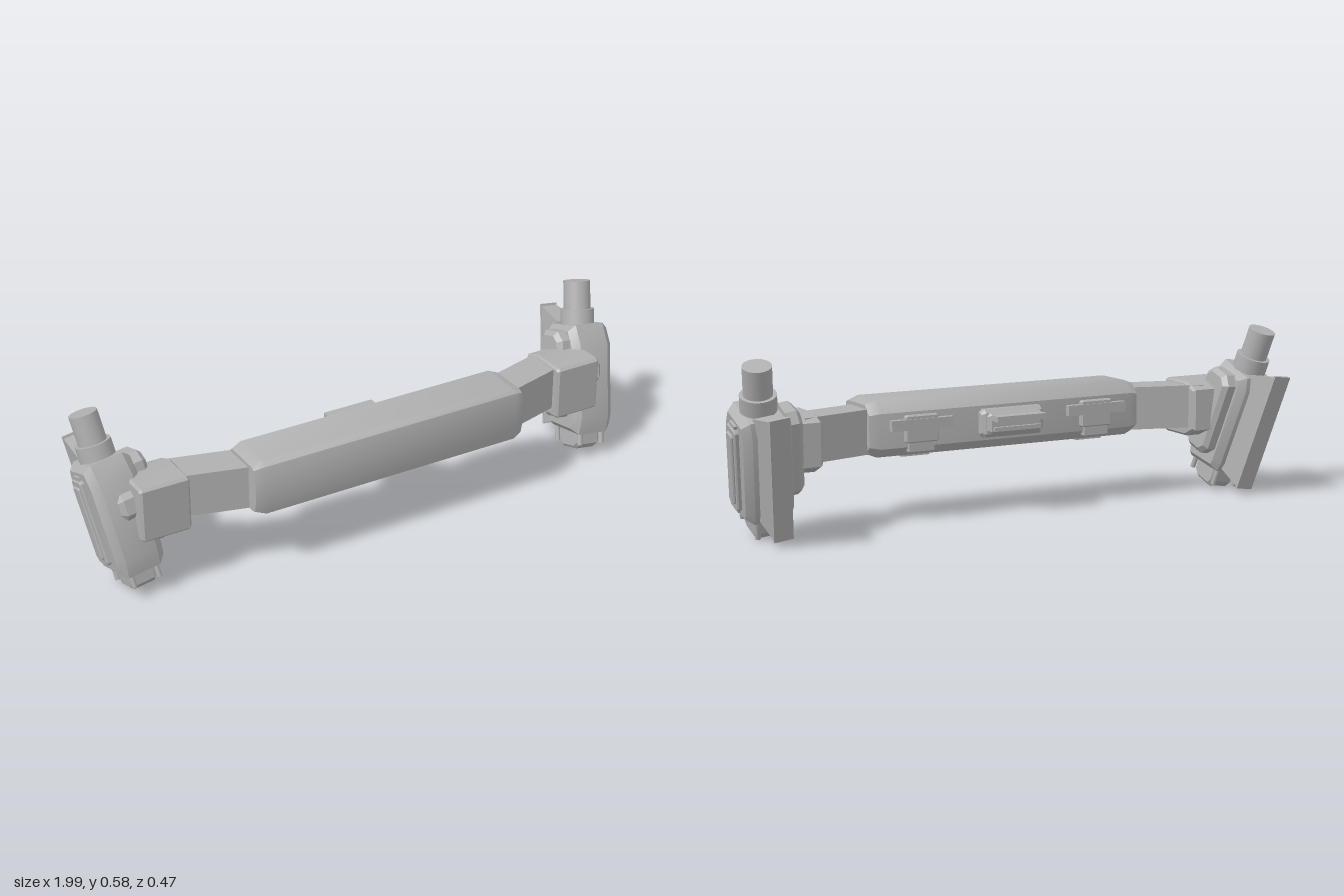
import * as THREE from 'three';
import { toCreasedNormals } from 'three/addons/utils/BufferGeometryUtils.js';

const grey = new THREE.MeshStandardMaterial({ color: 0xb0b0b0 });
grey.name = 'grey';

function add(parent, name, geometry, x = 0, y = 0, z = 0) {
  const mesh = new THREE.Mesh(geometry, grey);
  mesh.name = name;
  mesh.position.set(x, y, z);
  parent.add(mesh);
  return mesh;
}

const box = (w, h, d) => new THREE.BoxGeometry(w, h, d);

// Outline of [z, y] points extruded across x, centred, with bevelled ends
function prism(points, width, inset = 0.01, run = inset) {
  const shape = new THREE.Shape(points.map(([z, y]) => new THREE.Vector2(-z, y)));
  const geo = new THREE.ExtrudeGeometry(shape, {
    depth: width - 2 * run, bevelEnabled: true, bevelSegments: 1,
    bevelSize: inset, bevelThickness: run, bevelOffset: -inset,
  });
  geo.translate(0, 0, run - width / 2);
  geo.rotateY(Math.PI / 2);
  return toCreasedNormals(geo, 0.45);
}

// Rectangle with cut corners, as [z, y] points
function cutRect(z0, z1, y0, y1, c) {
  return [[z0 + c, y0], [z1 - c, y0], [z1, y0 + c], [z1, y1 - c],
    [z1 - c, y1], [z0 + c, y1], [z0, y1 - c], [z0, y0 + c]];
}

// Reshape a geometry's vertices by a rule
function reshape(geo, rule) {
  const p = geo.attributes.position;
  const v = new THREE.Vector3();
  for (let i = 0; i < p.count; i++) {
    v.fromBufferAttribute(p, i);
    rule(v);
    p.setXYZ(i, v.x, v.y, v.z);
  }
  geo.computeVertexNormals();
  return geo;
}

// Tilted end pod; s is +1 on the left, -1 on the right
function makePod(s) {
  const pod = new THREE.Group();
  pod.name = s > 0 ? 'leftPod' : 'rightPod';
  pod.position.set(0.88 * s, 0.252, 0.011);
  pod.rotation.set(-0.314, 0, -0.14 * s);

  add(pod, 'podBody', prism([
    [-0.078, -0.175], [0.078, -0.192], [0.096, -0.134], [0.098, 0.118],
    [0.07, 0.187], [-0.074, 0.18], [-0.09, 0.132], [-0.087, -0.141],
  ], 0.16, 0.02, 0.025));

  // Outer cover: frame, raised panel and end tabs
  add(pod, 'coverFrame', prism(cutRect(-0.037, 0.037, -0.142, 0.142, 0.008), 0.03, 0.004), 0.079 * s);
  add(pod, 'coverPanel', prism(cutRect(-0.023, 0.023, -0.122, 0.122, 0.006), 0.03, 0.004), 0.086 * s);
  for (const e of [-1, 1]) add(pod, 'coverTab', box(0.02, 0.014, 0.045), 0.079 * s, 0.146 * e, 0);

  // Inner mounting blocks
  add(pod, 'innerMount', prism(cutRect(-0.06, 0.07, -0.13, 0.168, 0.03), 0.07, 0.015), -0.09 * s);
  add(pod, 'frontMount', prism(cutRect(0.02, 0.116, -0.045, 0.065, 0.03), 0.12, 0.015), -0.04 * s, 0.02, 0);

  // Post and collar on top
  add(pod, 'collar', new THREE.CylinderGeometry(0.058, 0.058, 0.09, 32), 0, 0.19, 0);
  add(pod, 'post', new THREE.CylinderGeometry(0.046, 0.046, 0.12, 32), 0, 0.272, 0);

  // Foot with four pins
  add(pod, 'foot', prism([
    [-0.058, -0.15], [-0.058, -0.225], [-0.043, -0.249], [0.03, -0.249],
    [0.055, -0.232], [0.066, -0.15],
  ], 0.09, 0.01), 0, 0, 0);
  for (const x of [-0.044, 0.044]) {
    for (const z of [-0.07, 0.066]) {
      add(pod, 'pin', new THREE.CylinderGeometry(0.009, 0.009, 0.075, 12), x, -0.194, z);
    }
  }

  // Rear fin, taller and thinner toward its back edge
  const fin = reshape(box(2, 2, 2), (v) => {
    const back = v.z < 0;
    v.x *= back ? 0.03 : 0.042;
    v.y = v.y > 0 ? (back ? 0.232 : 0.188) : (back ? -0.184 : -0.16);
    v.z = back ? -0.175 : -0.06;
  });
  add(pod, 'fin', fin);
  add(pod, 'finEdge', box(0.064, 0.426, 0.009), 0, 0.025, -0.177);
  return pod;
}

// Slanted arm and joint block between bar and pod
function makeArm(s) {
  const arm = new THREE.Group();
  arm.name = s > 0 ? 'leftArm' : 'rightArm';
  const link = reshape(box(0.28, 0.146, 0.125), (v) => {
    v.z -= 0.27 * s * v.x;
  });
  add(arm, 'link', link, 0.6 * s, 0.305, 0.086);
  add(arm, 'jointBlock', prism([
    [-0.035, 0.225], [0.02, 0.2], [0.145, 0.2], [0.153, 0.208],
    [0.153, 0.38], [0.143, 0.388], [0.02, 0.388], [-0.035, 0.365],
  ], 0.17, 0.008), 0.773 * s);
  return arm;
}

// Clip on the back of the bar, folded under its lower edge
function makeClip(x) {
  const clip = new THREE.Group();
  clip.name = 'clip';
  clip.position.x = x;
  add(clip, 'clipStrip', box(0.22, 0.035, 0.022), 0, 0.325, 0.011);
  add(clip, 'clipPlate', prism(cutRect(0.004, 0.04, 0.265, 0.355, 0.004), 0.12, 0.006), 0, 0, 0);
  add(clip, 'clipTab', box(0.09, 0.035, 0.03), 0, 0.253, 0.025);
  add(clip, 'clipFold', box(0.1, 0.008, 0.1), 0, 0.217, 0.11);
  return clip;
}

export function createModel() {
  const model = new THREE.Group();
  model.name = 'sensorBar';

  // Central bar
  add(model, 'centralBar', prism([
    [0.02, 0.25], [0.055, 0.219], [0.2, 0.217], [0.224, 0.225], [0.233, 0.265],
    [0.235, 0.31], [0.232, 0.355], [0.224, 0.393], [0.2, 0.403], [0.06, 0.405], [0.02, 0.365],
  ], 1, 0.014, 0.035));

  // Rear latch: stepped base with a protruding lip
  const latch = new THREE.Group();
  latch.name = 'rearLatch';
  add(latch, 'latchBase', prism(cutRect(-0.012, 0.04, 0.262, 0.355, 0.012), 0.23, 0.012));
  add(latch, 'latchStep', prism(cutRect(-0.028, 0.03, 0.275, 0.345, 0.008), 0.2, 0.01));
  add(latch, 'latchLip', box(0.18, 0.018, 0.07), 0, 0.33, -0.035);
  add(latch, 'latchLedge', box(0.17, 0.012, 0.03), 0, 0.293, -0.025);
  model.add(latch);

  for (const s of [-1, 1]) {
    model.add(makeClip(0.325 * s), makeArm(s), makePod(s));
  }
  return model;
}
